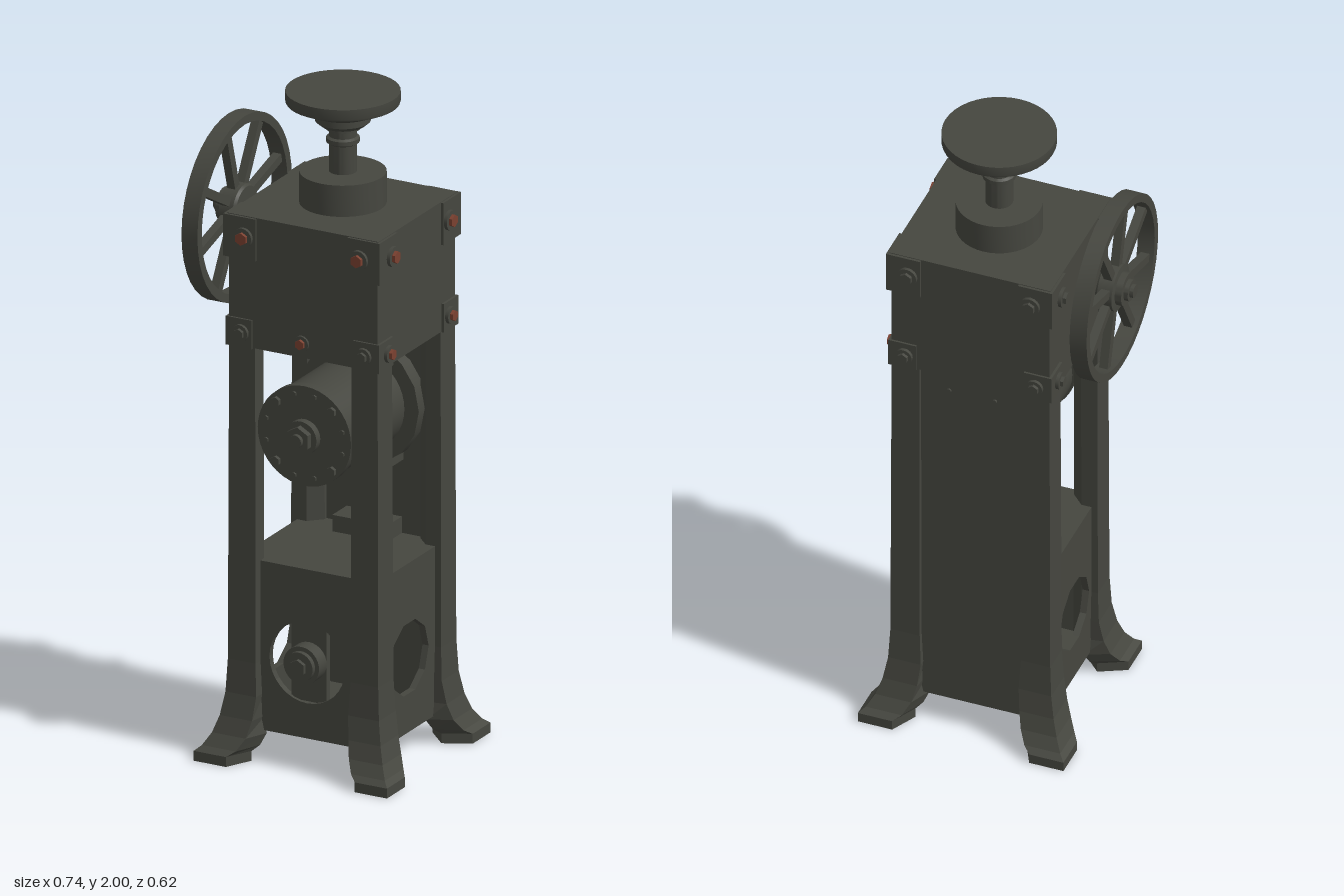
import * as THREE from 'three';
import { toCreasedNormals } from 'three/addons/utils/BufferGeometryUtils.js';

export function createModel() {
  const iron = new THREE.MeshStandardMaterial({ color: 0x45463f });
  iron.name = 'dark iron';
  const rust = new THREE.MeshStandardMaterial({ color: 0x7a4030 });
  rust.name = 'rust red';

  const root = new THREE.Group();
  root.name = 'press';
  const body = new THREE.Group();
  body.name = 'body';
  body.position.set(0.055, 0, 0.005);
  root.add(body);

  function add(name, geo, parent = body, mat = iron) {
    const m = new THREE.Mesh(geo, mat);
    m.name = name;
    parent.add(m);
    return m;
  }
  // box given by its limits
  function box(name, x0, x1, y0, y1, z0, z1) {
    const g = new THREE.BoxGeometry(x1 - x0, y1 - y0, z1 - z0);
    g.translate((x0 + x1) / 2, (y0 + y1) / 2, (z0 + z1) / 2);
    return add(name, g);
  }
  // disc or drum along z
  function drum(name, r, z0, z1, x, y, sides = 32, parent = body, mat = iron) {
    const g = new THREE.CylinderGeometry(r, r, z1 - z0, sides);
    g.rotateX(Math.PI / 2).translate(x, y, (z0 + z1) / 2);
    return add(name, sides < 13 ? toCreasedNormals(g, 0.3) : g, parent, mat);
  }
  // turned part along y from [radius, height] points
  function turned(name, points, parent = body) {
    const g = new THREE.LatheGeometry(points.map(p => new THREE.Vector2(...p)), 40);
    return add(name, toCreasedNormals(g, 0.5), parent);
  }
  // flat plate with a round hole
  function holedPlate(hw, y0, y1, hx, hy, r, seg, depth) {
    const s = new THREE.Shape();
    s.moveTo(-hw, y0).lineTo(hw, y0).lineTo(hw, y1).lineTo(-hw, y1).closePath();
    const h = new THREE.Path();
    h.absarc(hx, hy, r, 0, Math.PI * 2, true);
    s.holes.push(h);
    return new THREE.ExtrudeGeometry(s, { depth, bevelEnabled: false, curveSegments: seg });
  }

  // corner posts with flared feet: [y, outer x, outer z, face width, inner depth, inner flare]
  const rows = [
    [0, 0.315, 0.305, 0.105, 0.08, 0.04], [0.03, 0.315, 0.305, 0.105, 0.08, 0.04],
    [0.045, 0.298, 0.287, 0.11, 0.08, 0.035], [0.08, 0.278, 0.264, 0.11, 0.07, 0.03],
    [0.13, 0.262, 0.247, 0.105, 0.06, 0.01], [0.2, 0.25, 0.235, 0.1, 0.05, 0],
    [0.3, 0.245, 0.23, 0.09, 0.05, 0], [1.27, 0.242, 0.228, 0.085, 0.05, 0],
  ];
  function postGeometry(sx, sz) {
    const rings = rows.map(([y, ox, oz, w, d, e]) => [
      [ox, oz], [ox - w, oz], [ox - w - e, oz - d], [ox - d, oz - w - e], [ox, oz - w],
    ].map(([x, z]) => [x * sx, y, z * sz]));
    const v = [];
    const tri = (a, b, c) => v.push(...(sx * sz > 0 ? [a, b, c] : [a, c, b]).flat());
    for (let i = 0; i < rings.length - 1; i++) {
      const lo = rings[i], hi = rings[i + 1];
      for (let j = 0; j < 5; j++) {
        const k = (j + 1) % 5;
        tri(lo[j], hi[j], hi[k]);
        tri(lo[j], hi[k], lo[k]);
      }
    }
    const b = rings[0], t = rings[rings.length - 1];
    for (let j = 1; j < 4; j++) {
      tri(b[0], b[j], b[j + 1]);
      tri(t[0], t[j + 1], t[j]);
    }
    const g = new THREE.BufferGeometry();
    g.setAttribute('position', new THREE.Float32BufferAttribute(v, 3));
    g.computeVertexNormals();
    return g;
  }

  // hex bolt on a washer, pointing along +z before turning
  function bolt(x, y, z, turn, mat, size = 1) {
    const b = new THREE.Group();
    b.name = 'bolt';
    b.position.set(x, y, z);
    b.rotation.y = turn;
    drum('washer', 0.03 * size, -0.005, 0.01, 0, 0, 16, b);
    drum('boltHead', 0.019 * size, 0.01, 0.02, 0, 0, 6, b, mat);
    body.add(b);
  }

  // posts, corner pads and their bolts
  for (const sx of [-1, 1]) for (const sz of [-1, 1]) {
    add('post', postGeometry(sx, sz));
    const pad = (name, ox, oz, w, y0, y1) => {
      const g = new THREE.BoxGeometry(w, y1 - y0, w);
      g.translate(sx * (ox - w / 2), (y0 + y1) / 2, sz * (oz - w / 2));
      add(name, g);
    };
    pad('upperCornerPad', 0.255, 0.24, 0.105, 1.53, 1.658);
    pad('lowerCornerPad', 0.25, 0.234, 0.085, 1.258, 1.345);
    const sideMat = sx > 0 ? rust : iron, faceTurn = sz > 0 ? 0 : Math.PI;
    bolt(sx * 0.188, 1.597, sz * 0.24, faceTurn, sz > 0 ? rust : iron);
    bolt(sx * 0.2, 1.303, sz * 0.234, faceTurn, iron, 0.85);
    bolt(sx * 0.255, 1.597, sz * 0.168, sx * Math.PI / 2, sideMat);
    bolt(sx * 0.25, 1.303, sz * 0.18, sx * Math.PI / 2, sideMat, 0.85);
  }
  bolt(-0.005, 1.303, 0.225, 0, rust, 0.8);

  // head block and cap
  box('headBlock', -0.242, 0.242, 1.26, 1.54, -0.228, 0.228);
  box('headCap', -0.247, 0.247, 1.53, 1.66, -0.232, 0.232);

  // back panel
  box('backPanel', -0.225, 0.225, 0.09, 1.27, -0.215, -0.19);
  for (const x of [-0.07, 0.07]) drum('rivet', 0.007, -0.22, -0.21, x, 1.2, 8);

  // hollow lower case with round openings
  box('caseTop', -0.225, 0.225, 0.585, 0.605, -0.2, 0.2);
  box('caseFloor', -0.225, 0.225, 0.09, 0.11, -0.21, 0.2);
  const front = holedPlate(0.225, 0.09, 0.6, -0.003, 0.32, 0.123, 16, 0.02);
  add('caseFront', front.translate(0, 0, 0.18));
  for (const x of [-0.225, 0.205]) {
    const side = holedPlate(0.2, 0.09, 0.6, -0.01, 0.315, 0.113, 5, 0.02);
    add('caseSide', side.rotateY(Math.PI / 2).translate(x, 0, 0));
  }
  box('bearingBar', -0.06, 0.055, 0.2, 0.44, 0.17, 0.19);
  drum('bearingHub', 0.058, 0.17, 0.235, -0.003, 0.323);
  drum('bearingCollar', 0.045, 0.235, 0.25, -0.003, 0.323);
  drum('bearingNut', 0.026, 0.25, 0.262, -0.003, 0.323, 6);

  // horizontal cylinder with bolted flanges
  const cy = 1.02;
  drum('barrel', 0.145, -0.2, 0.2, 0, cy, 40);
  drum('frontFlange', 0.152, 0.195, 0.222, 0, cy, 40);
  drum('backFlange', 0.192, -0.14, -0.105, 0, cy, 16);
  drum('backFlangeBase', 0.165, -0.2, -0.14, 0, cy, 16);
  drum('cylinderHub', 0.052, 0.22, 0.245, 0, cy);
  drum('cylinderNut', 0.04, 0.245, 0.265, 0, cy, 6);
  drum('cylinderStud', 0.02, 0.265, 0.278, 0, cy, 16);
  for (let i = 0; i < 12; i++) {
    const a = (i + 0.5) * Math.PI / 6, big = i % 3 === 1;
    drum('flangeBolt', big ? 0.015 : 0.008, 0.22, big ? 0.234 : 0.228,
      Math.cos(a) * 0.128, cy + Math.sin(a) * 0.128, 6);
  }
  // support under the cylinder
  box('supportWeb', -0.022, 0.022, 0.6, 0.86, -0.2, -0.13);
  box('supportNeck', -0.095, 0.095, 0.83, 0.9, -0.2, -0.125);
  box('supportFoot', -0.09, 0.09, 0.6, 0.655, -0.2, -0.105);

  // top collar, spindle and round table
  const top = new THREE.Group();
  top.name = 'spindle';
  top.position.set(0, 0, -0.005);
  body.add(top);
  turned('collar', [[0.125, 1.65], [0.125, 1.755], [0, 1.755]], top);
  turned('shaft', [[0.04, 1.75], [0.04, 1.84], [0.048, 1.845], [0.048, 1.858],
    [0.04, 1.863], [0.04, 1.885], [0.05, 1.885], [0.05, 1.9]], top);
  turned('table', [[0, 1.897], [0.065, 1.897], [0.08, 1.91], [0.08, 1.935], [0.095, 1.935],
    [0.163, 1.965], [0.165, 1.97], [0.165, 2], [0, 2]], top);

  // spoked handwheel, built around y and turned to face -x
  const wheel = new THREE.Group();
  wheel.name = 'handwheel';
  wheel.position.set(-0.308, 1.57, -0.03);
  wheel.rotation.z = Math.PI / 2;
  root.add(wheel);
  const R = 0.278, r = 0.252, h = 0.026;
  turned('rim', [[r, -h], [R, -h], [R, h], [r, h], [r, -h]], wheel);
  turned('hub', [[0, -0.033], [0.065, -0.033], [0.07, -0.025], [0.07, 0.02], [0.05, 0.022],
    [0.05, 0.042], [0.032, 0.042], [0.032, 0.055], [0.02, 0.055], [0.02, 0.066], [0, 0.066]], wheel);
  for (let i = 0; i < 8; i++) {
    const g = new THREE.BoxGeometry(0.2, 0.026, 0.026);
    g.translate(0.16, 0, 0).rotateY(i * Math.PI / 4 + 1.29);
    add('spoke', g, wheel);
  }
  return root;
}
